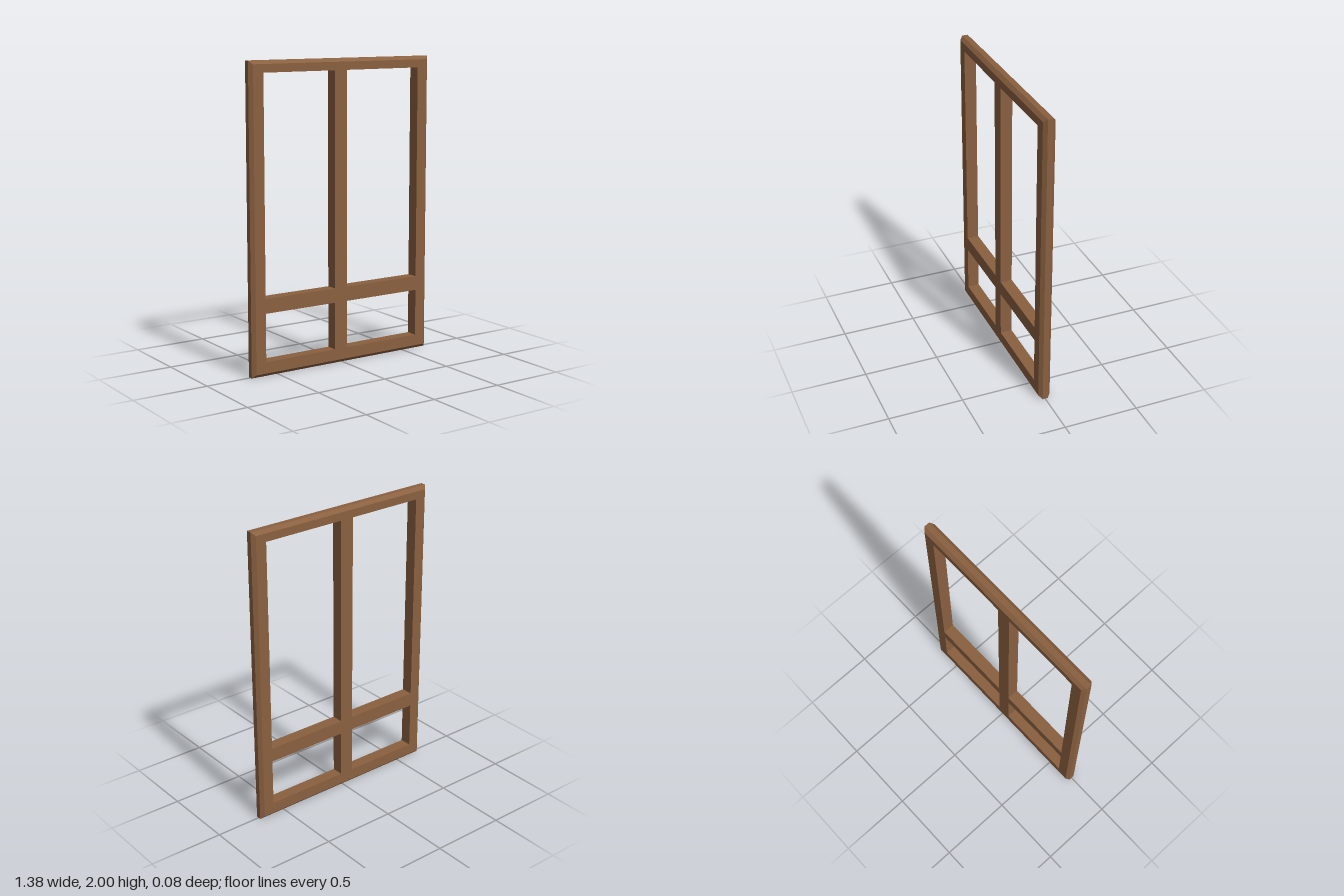
import * as THREE from 'three';

const HALF_W = 0.69, HEIGHT = 2, HALF_D = 0.04;
const CHAMFER = 0.022;

// Closed rectangle from corner to corner
function rectangle(target, x0, y0, x1, y1) {
  target.moveTo(x0, y0);
  target.lineTo(x1, y0);
  target.lineTo(x1, y1);
  target.lineTo(x0, y1);
  target.closePath();
  return target;
}

export function createModel() {
  const model = new THREE.Group();
  model.name = 'windowFrame';

  const wood = new THREE.MeshStandardMaterial({ color: 0x8a6040, flatShading: true });
  wood.name = 'brown wood';

  // Frame outline with four openings: two tall above, two short below
  const outline = rectangle(new THREE.Shape(), -HALF_W, 0, HALF_W, HEIGHT);
  for (const [x0, x1] of [[-0.595, -0.068], [0.026, 0.595]]) {
    for (const [y0, y1] of [[0.097, 0.412], [0.508, 1.925]]) {
      outline.holes.push(rectangle(new THREE.Path(), x0, y0, x1, y1));
    }
  }

  const geometry = new THREE.ExtrudeGeometry(outline, {
    depth: HALF_D * 2, steps: 3, bevelEnabled: false,
  });
  geometry.translate(0, 0, -HALF_D);

  // Chamfer the outer rim only: inset it on both faces, widen the middle band
  const p = geometry.attributes.position;
  for (let i = 0; i < p.count; i++) {
    const x = p.getX(i), y = p.getY(i), z = p.getZ(i);
    if (Math.abs(x) < HALF_W - 0.01) continue;
    if (Math.abs(z) > HALF_D * 0.9) {
      p.setX(i, x - Math.sign(x) * CHAMFER);
      p.setY(i, y < HEIGHT / 2 ? y + CHAMFER : y - CHAMFER);
    } else {
      p.setZ(i, Math.sign(z) * (HALF_D - CHAMFER));
    }
  }
  geometry.computeVertexNormals();

  const frame = new THREE.Mesh(geometry, wood);
  frame.name = 'frameWithMullions';
  model.add(frame);
  return model;
}
